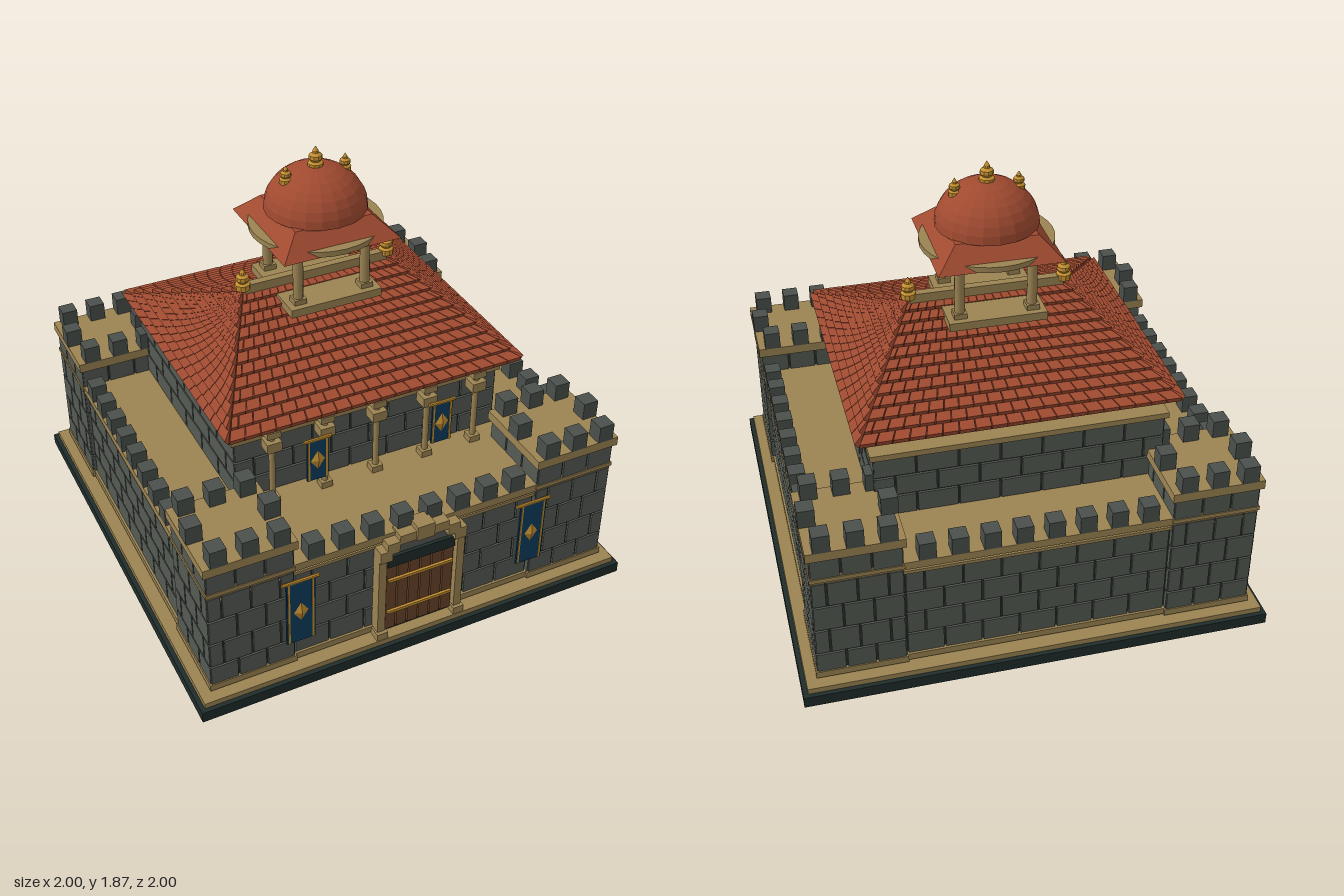
import * as THREE from 'three';
import { mergeGeometries } from 'three/addons/utils/BufferGeometryUtils.js';

const mat = (name, color, extra = {}) => {
  const m = new THREE.MeshStandardMaterial({ color, ...extra });
  m.name = name;
  return m;
};

export function createModel() {
  const stone = mat('stone', 0x555a53), mortar = mat('mortar', 0x2b302c), merlonStone = mat('merlonStone', 0x4a504c);
  const plinthDark = mat('plinthDark', 0x1f2c2a), sand = mat('sandstone', 0x9c8453), tile = mat('terracotta', 0xa04a30);
  const underRoof = mat('underRoof', 0x5a2a1c), wood = mat('wood', 0x6b4529), gold = mat('gold', 0xc48f30), blue = mat('blueCloth', 0x0d3c5e);
  for (const m of [tile, gold]) m.flatShading = true;

  const model = new THREE.Group();
  const ZC = -0.04; // centre of the upper building in z
  const box = (w, h, d, x, y, z) => new THREE.BoxGeometry(w, h, d).translate(x, y, z);
  const slab = (hw, y0, y1, hd = hw, x = 0, z = 0) => box(hw * 2, y1 - y0, hd * 2, x, (y0 + y1) / 2, z);
  const add = (name, material, ...geos) => {
    const m = new THREE.Mesh(geos.length > 1 ? mergeGeometries(geos) : geos[0], material);
    m.name = name;
    model.add(m);
    return m;
  };

  // Staggered blocks on one wall plane facing +z
  const courses = (width, y0, y1, rows, count) => {
    const out = [], h = (y1 - y0) / rows, bw = width / count, gap = 0.009;
    for (let r = 0; r < rows; r++) {
      const shift = r % 2 ? bw / 2 : 0;
      for (let i = 0; i <= count; i++) {
        const a = Math.max(0, i * bw - shift), b = Math.min(width, (i + 1) * bw - shift);
        if (b - a < 0.02) continue;
        out.push(box(b - a - gap, h - gap, 0.02, (a + b) / 2 - width / 2, y0 + h * (r + 0.5), 0));
      }
    }
    return out;
  };
  // Four block-faced sides around a rectangular core
  const blockSides = (hw, hd, y0, y1, rows, nx, nz, x, z, trim = 0) => {
    const out = [];
    for (let s = 0; s < 4; s++) {
      const [half, reach, n] = s % 2 ? [hd, hw, nz] : [hw, hd, nx];
      for (const g of courses((half - trim) * 2, y0, y1, rows, n))
        out.push(g.translate(0, 0, reach - 0.01).rotateY(s * Math.PI / 2).translate(x, 0, z));
    }
    return out;
  };

  // Base
  add('plinth', plinthDark, slab(1, 0, 0.05));
  add('plinthStep', sand, slab(0.98, 0.05, 0.075));

  // Curtain walls and deck
  add('curtainCore', mortar, slab(0.905, 0.07, 0.58));
  add('curtainBlocks', stone, ...blockSides(0.915, 0.915, 0.11, 0.55, 4, 7, 7, 0, 0, 0.36));
  add('curtainBands', sand, slab(0.925, 0.085, 0.115), slab(0.922, 0.545, 0.56));
  add('deck', sand, slab(0.93, 0.575, 0.61));

  // Corner towers
  const merlons = [];
  const merlon = (x, y, z) => merlons.push(box(0.07, 0.08, 0.07, x, y + 0.04, z));
  const cores = [], blocks = [], trims = [];
  for (const sx of [-1, 1]) for (const sz of [-1, 1]) {
    const x = sx * 0.745, z = sz * 0.745;
    cores.push(slab(0.177, 0.07, 0.71, 0.177, x, z));
    blocks.push(...blockSides(0.186, 0.186, 0.085, 0.7, 5, 3, 3, x, z));
    trims.push(slab(0.198, 0.7, 0.742, 0.198, x, z), slab(0.19, 0.585, 0.603, 0.19, x, z), slab(0.191, 0.085, 0.115, 0.191, x, z));
    for (const s of [-1, 1]) {
      for (const o of [-0.132, 0, 0.132]) merlon(x + o, 0.742, z + s * 0.165);
      merlon(x + s * 0.165, 0.742, z);
    }
  }
  add('towerCores', mortar, ...cores);
  add('towerBlocks', stone, ...blocks);
  add('towerTrim', sand, ...trims);
  for (let i = 0; i < 8; i++) for (const s of [-1, 1]) {
    const t = -0.462 + i * 0.132;
    merlon(t, 0.61, s * 0.895);
    merlon(s * 0.895, 0.61, t);
  }
  add('merlons', merlonStone, ...merlons);

  // Upper hall
  add('hallCore', mortar, slab(0.605, 0.6, 0.9, 0.542, 0, -0.075));
  add('hallBlocks', stone, ...blockSides(0.615, 0.552, 0.61, 0.9, 3, 7, 6, 0, -0.075));
  add('hallCornice', sand, slab(0.628, 0.898, 0.924, 0.562, 0, -0.075));

  // Porch columns
  for (let i = -2; i <= 2; i++) {
    const x = i * 0.2375, z = 0.54;
    add('porchColumn', sand,
      new THREE.CylinderGeometry(0.014, 0.014, 0.37, 8).translate(x, 0.795, z),
      box(0.05, 0.03, 0.05, x, 0.625, z), box(0.065, 0.045, 0.065, x, 0.905, z), box(0.06, 0.03, 0.06, x, 0.965, z));
  }

  // Hip roof: four slopes of tapering tiles over a solid core
  const ex = 0.67, ez = 0.61, y0 = 0.985, y1 = 1.25, rx = 0.34;
  const V = (x, y, z) => new THREE.Vector3(x, y, z + ZC);
  const slope = (A, B, C, D, rows, count) => {
    const n = B.clone().sub(A).cross(D.clone().sub(A)).normalize();
    const at = (u, v, lift) => A.clone().lerp(B, u).lerp(D.clone().lerp(C, u), v).addScaledVector(n, lift);
    const out = [];
    for (let r = 0; r < rows; r++) for (let i = 0; i <= count; i++) {
      const shift = r % 2 ? 0.5 : 0;
      const a = Math.max(0, (i - shift) / count), b = Math.min(1, (i + 1 - shift) / count);
      if (b - a < 0.001) continue;
      const g = new THREE.BoxGeometry(1, 1, 1), p = g.attributes.position;
      for (let k = 0; k < p.count; k++) {
        const low = p.getY(k) < 0, top = p.getZ(k) > 0;
        const q = at(p.getX(k) < 0 ? a + 0.0015 : b - 0.0015, (r + (low ? 0 : 1)) / rows, top ? (low ? 0.026 : 0.006) : 0);
        p.setXYZ(k, q.x, q.y, q.z);
      }
      g.computeVertexNormals();
      out.push(g);
    }
    return out;
  };
  const FL = V(-ex, y0, ez), FR = V(ex, y0, ez), BL = V(-ex, y0, -ez), BR = V(ex, y0, -ez), RL = V(-rx, y1, 0), RR = V(rx, y1, 0);
  add('roofTiles', tile,
    ...slope(FL, FR, RR, RL, 12, 20), ...slope(BR, BL, RL, RR, 12, 20),
    ...slope(FR, BR, RR, RR, 12, 16), ...slope(BL, FL, RL, RL, 12, 16));
  const core = new THREE.BoxGeometry(1, 1, 1), cp = core.attributes.position;
  for (let k = 0; k < cp.count; k++) {
    const up = cp.getY(k) > 0;
    cp.setXYZ(k, Math.sign(cp.getX(k)) * (up ? rx : ex), up ? y1 : y0, Math.sign(cp.getZ(k)) * (up ? 0.001 : ez) + ZC);
  }
  core.computeVertexNormals();
  add('roofCore', underRoof, core);
  add('ridgeBar', sand, slab(0.335, 1.25, 1.295, 0.018, 0, ZC));

  // Finials
  const finialProfile = [[0, 0], [0.033, 0], [0.033, 0.025], [0.02, 0.032], [0.03, 0.045], [0.028, 0.06], [0.014, 0.07], [0.012, 0.08], [0, 0.1]]
    .map(([x, y]) => new THREE.Vector2(x, y));
  const finial = (x, y, s = 1) => {
    const m = add('finial', gold, new THREE.LatheGeometry(finialProfile, 10));
    m.position.set(x, y, ZC);
    m.scale.setScalar(s);
  };
  for (const s of [-1, 1]) {
    finial(s * 0.34, 1.275);
    finial(s * 0.135, 1.725, 0.8);
  }
  finial(0, 1.765);

  // Domed pavilion
  add('pavilionBase', sand, slab(0.21, 1.21, 1.247, 0.21, 0, ZC));
  for (const sx of [-1, 1]) for (const sz of [-1, 1]) {
    const x = sx * 0.155, z = ZC + sz * 0.155;
    add('pavilionColumn', sand, new THREE.CylinderGeometry(0.022, 0.022, 0.28, 10).translate(x, 1.37, z),
      box(0.055, 0.025, 0.055, x, 1.258, z), box(0.055, 0.025, 0.055, x, 1.495, z));
  }
  add('pavilionDisc', sand, new THREE.CylinderGeometry(0.285, 0.285, 0.024, 32).translate(0, 1.518, ZC));
  add('pavilionEave', tile, new THREE.CylinderGeometry(0.175 * Math.SQRT2, 0.265 * Math.SQRT2, 0.09, 4).rotateY(Math.PI / 4).translate(0, 1.55, ZC));
  add('dome', tile,
    new THREE.SphereGeometry(0.22, 20, 8, 0, Math.PI * 2, 0, Math.PI / 2).scale(1, 0.86, 1).translate(0, 1.592, ZC),
    new THREE.CircleGeometry(0.22, 20).rotateX(Math.PI / 2).translate(0, 1.592, ZC));

  // Gate
  const frame = [], planks = [];
  for (const s of [-1, 1]) frame.push(
    box(0.035, 0.42, 0.06, s * 0.182, 0.3, 0.935), box(0.05, 0.035, 0.08, s * 0.182, 0.095, 0.94),
    box(0.055, 0.055, 0.07, s * 0.172, 0.53, 0.94), box(0.055, 0.055, 0.07, s * 0.14, 0.565, 0.94),
    box(0.075, 0.045, 0.07, s * 0.075, 0.597, 0.94));
  frame.push(box(0.08, 0.07, 0.08, 0, 0.61, 0.945));
  add('gateFrame', sand, ...frame);
  add('gateBacking', mortar, box(0.33, 0.4, 0.02, 0, 0.28, 0.925));
  for (let i = 0; i < 6; i++) planks.push(box(0.046, 0.36, 0.02, -0.1325 + i * 0.053, 0.28, 0.94));
  add('gatePlanks', wood, ...planks);
  add('gateStraps', gold, box(0.3, 0.014, 0.012, 0, 0.2, 0.955), box(0.3, 0.014, 0.012, 0, 0.375, 0.955));
  add('gateLintel', plinthDark, box(0.31, 0.055, 0.04, 0, 0.48, 0.94));
  add('gateTympanum', stone, box(0.3, 0.075, 0.03, 0, 0.545, 0.93));

  // Hanging banners
  const banner = (x, top, z, w, h) => {
    const y = top - h / 2;
    add('bannerCloth', blue, box(w, h, 0.008, x, y, z));
    add('bannerTrim', gold, box(0.008, h, 0.012, x - w * 0.42, y, z), box(0.008, h, 0.012, x + w * 0.42, y, z),
      new THREE.CylinderGeometry(0.008, 0.008, w * 1.3, 8).rotateZ(Math.PI / 2).translate(x, top + 0.004, z));
    add('bannerDiamond', gold, new THREE.OctahedronGeometry(1).scale(0.032, 0.048, 0.012).translate(x, y, z + 0.004));
  };
  for (const s of [-1, 1]) {
    banner(s * 0.54, 0.53, 0.945, 0.125, 0.32);
    banner(s * 0.29, 0.89, 0.58, 0.095, 0.2);
  }
  return model;
}
